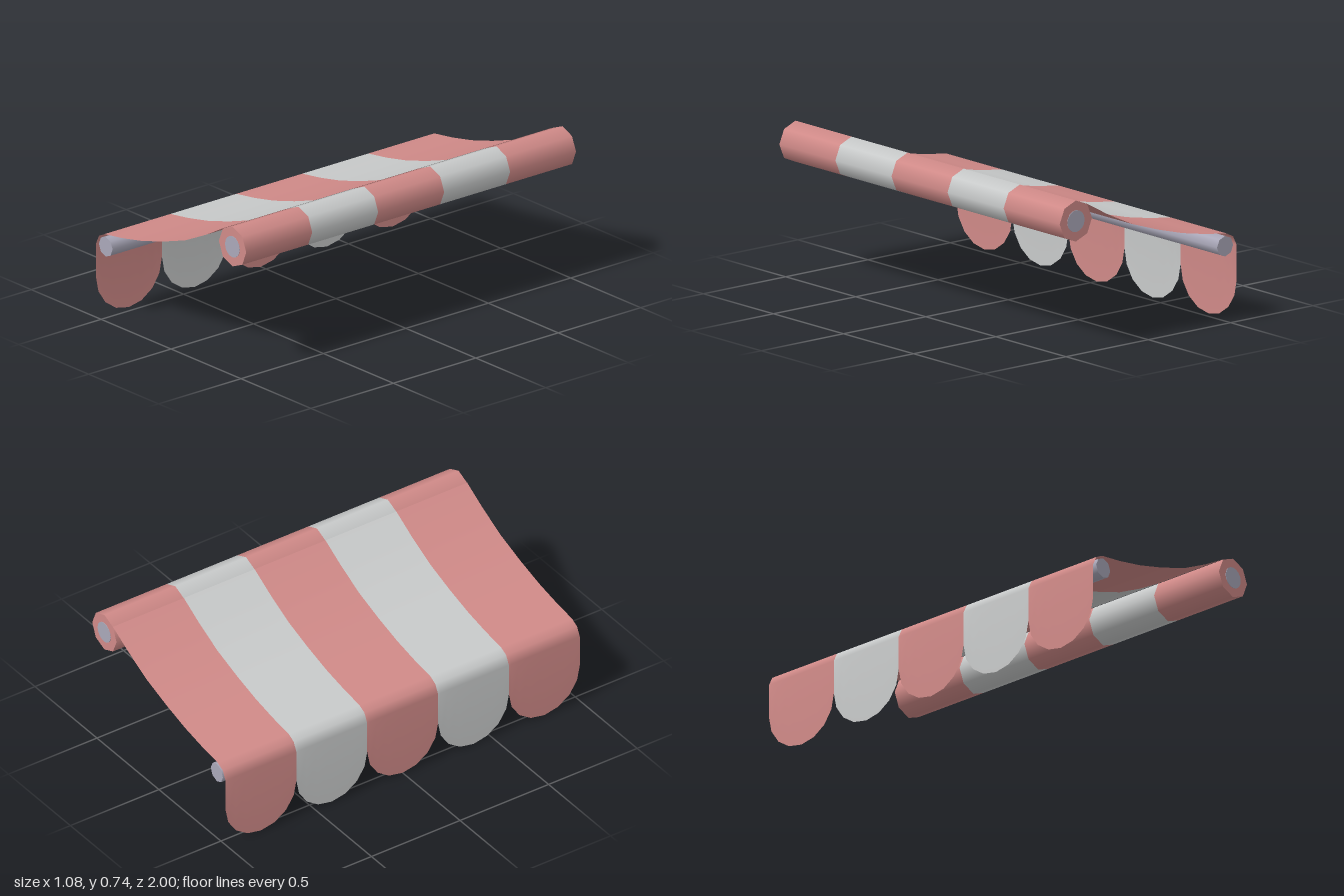
import * as THREE from 'three';

const LENGTH = 2, STRIPES = 5, STRIPE = LENGTH / STRIPES;
const ROLLER = { x: 0.44, y: 0.637, r: 0.098 };
const BAR = { x: -0.467, y: 0.37, r: 0.049 };

// Sagging cloth profile (x, y) from the roller, over the bar, to the valance top
const CLOTH = [
  [0.371, 0.708], [0.25, 0.64], [0.1, 0.568], [-0.06, 0.515], [-0.21, 0.474],
  [-0.35, 0.447], [-0.475, 0.43], [-0.515, 0.41], [-0.537, 0.365],
];

// Cylinder lying along z
function rod(spec, length, z, material, sides = 8, open = false) {
  const g = new THREE.CylinderGeometry(spec.r, spec.r, length, sides, 1, open);
  g.rotateX(Math.PI / 2);
  const m = new THREE.Mesh(g, material);
  m.position.set(spec.x, spec.y, z);
  return m;
}

// One cloth stripe with a rounded scallop at its hanging end
function clothStripe(z) {
  const cols = 8, r = STRIPE / 2, pos = [], index = [];
  const rows = CLOTH.length + 1;
  for (let i = 0; i < rows; i++) {
    for (let j = 0; j <= cols; j++) {
      const a = (j / cols) * Math.PI;
      const [x, y] = i < CLOTH.length ? CLOTH[i] : [-0.537, r - r * Math.sin(a)];
      pos.push(x, y, z - r * Math.cos(a));
    }
  }
  for (let i = 0; i < rows - 1; i++) {
    for (let j = 0; j < cols; j++) {
      const a = i * (cols + 1) + j, b = a + 1, c = a + cols + 1, d = c + 1;
      index.push(a, c, b, b, c, d);
    }
  }
  const g = new THREE.BufferGeometry();
  g.setAttribute('position', new THREE.Float32BufferAttribute(pos, 3));
  g.setIndex(index);
  g.computeVertexNormals();
  return g;
}

export function createModel() {
  const red = new THREE.MeshStandardMaterial({ name: 'fadedRed', color: 0xd08a88, side: THREE.DoubleSide });
  const white = new THREE.MeshStandardMaterial({ name: 'paleGrey', color: 0xc8caca, side: THREE.DoubleSide });
  const metal = new THREE.MeshStandardMaterial({ name: 'greyMetal', color: 0xaaa8b9 });

  const model = new THREE.Group();
  model.name = 'awning';
  const add = (name, mesh) => { mesh.name = name; model.add(mesh); };

  // Striped cloth and the striped roll it winds onto
  for (let i = 0; i < STRIPES; i++) {
    const z = -LENGTH / 2 + STRIPE * (i + 0.5);
    const material = i % 2 ? white : red;
    add('clothStripe', new THREE.Mesh(clothStripe(z), material));
    add('rollStripe', rod(ROLLER, STRIPE, z, material, 8, true));
  }

  // Roll ends with the core showing
  for (const s of [-1, 1]) {
    const cap = new THREE.Mesh(new THREE.CircleGeometry(ROLLER.r, 8), red);
    cap.position.set(ROLLER.x, ROLLER.y, s * LENGTH / 2);
    if (s < 0) cap.rotation.y = Math.PI;
    add('rollEnd', cap);
    add('rollCore', rod({ ...ROLLER, r: 0.052 }, 0.004, s * (LENGTH / 2), metal, 16));
  }

  // Front bar carrying the cloth
  add('frontBar', rod(BAR, LENGTH, 0, metal));
  return model;
}
